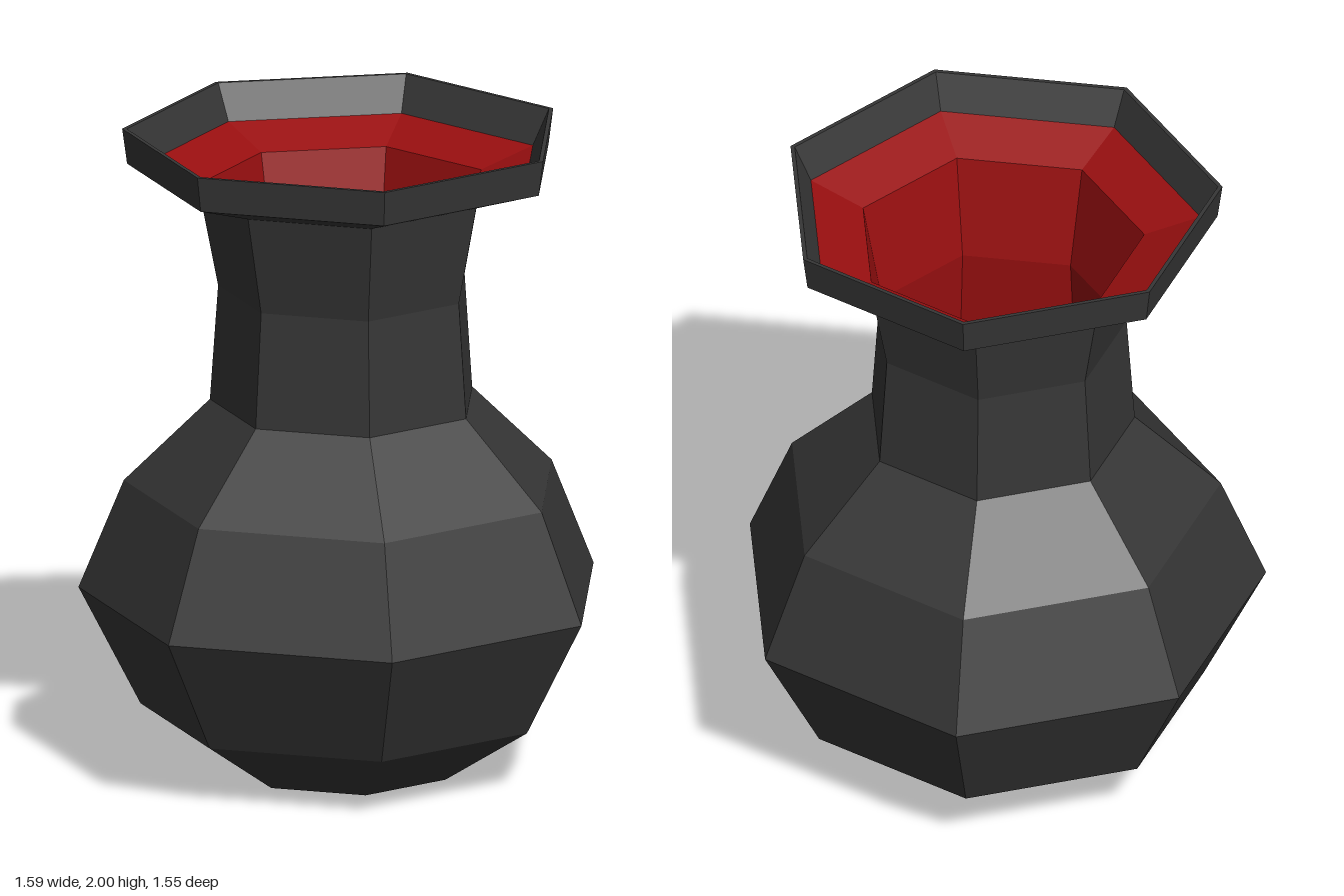
import * as THREE from 'three';

const SIDES = 7;

// Revolves a [radius, height] profile into a seven-sided shell, one corner at the back
function shell(name, profile, material) {
  const points = profile.map(([r, y]) => new THREE.Vector2(r, y));
  const mesh = new THREE.Mesh(new THREE.LatheGeometry(points, SIDES, Math.PI), material);
  mesh.name = name;
  return mesh;
}

export function createModel() {
  const black = new THREE.MeshStandardMaterial({ color: 0x363636, flatShading: true });
  black.name = 'charcoal glaze';
  const red = new THREE.MeshStandardMaterial({ color: 0x990f10, flatShading: true });
  red.name = 'red lining';

  const vase = new THREE.Group();
  vase.name = 'vase';

  // Base, belly and neck
  vase.add(shell('body', [
    [0, 0], [0.344, 0], [0.626, 0.185], [0.815, 0.55], [0.677, 0.89],
    [0.415, 1.15], [0.39, 1.51], [0.45, 1.82],
  ], black));

  // Flared lip with a thin top edge and a sloping inner wall
  vase.add(shell('rim', [
    [0.45, 1.82], [0.667, 1.89], [0.682, 2], [0.668, 2], [0.615, 1.89],
  ], black));

  // Inside surface, from lip down to floor
  vase.add(shell('lining', [
    [0.615, 1.89], [0.444, 1.832], [0.383, 1.51], [0.407, 1.14], [0.667, 0.885],
    [0.803, 0.55], [0.616, 0.192], [0.344, 0.012], [0, 0.012],
  ], red));

  // Centre the odd-sided outline on z
  vase.children.forEach((part) => { part.position.z = 0.04; });
  return vase;
}
